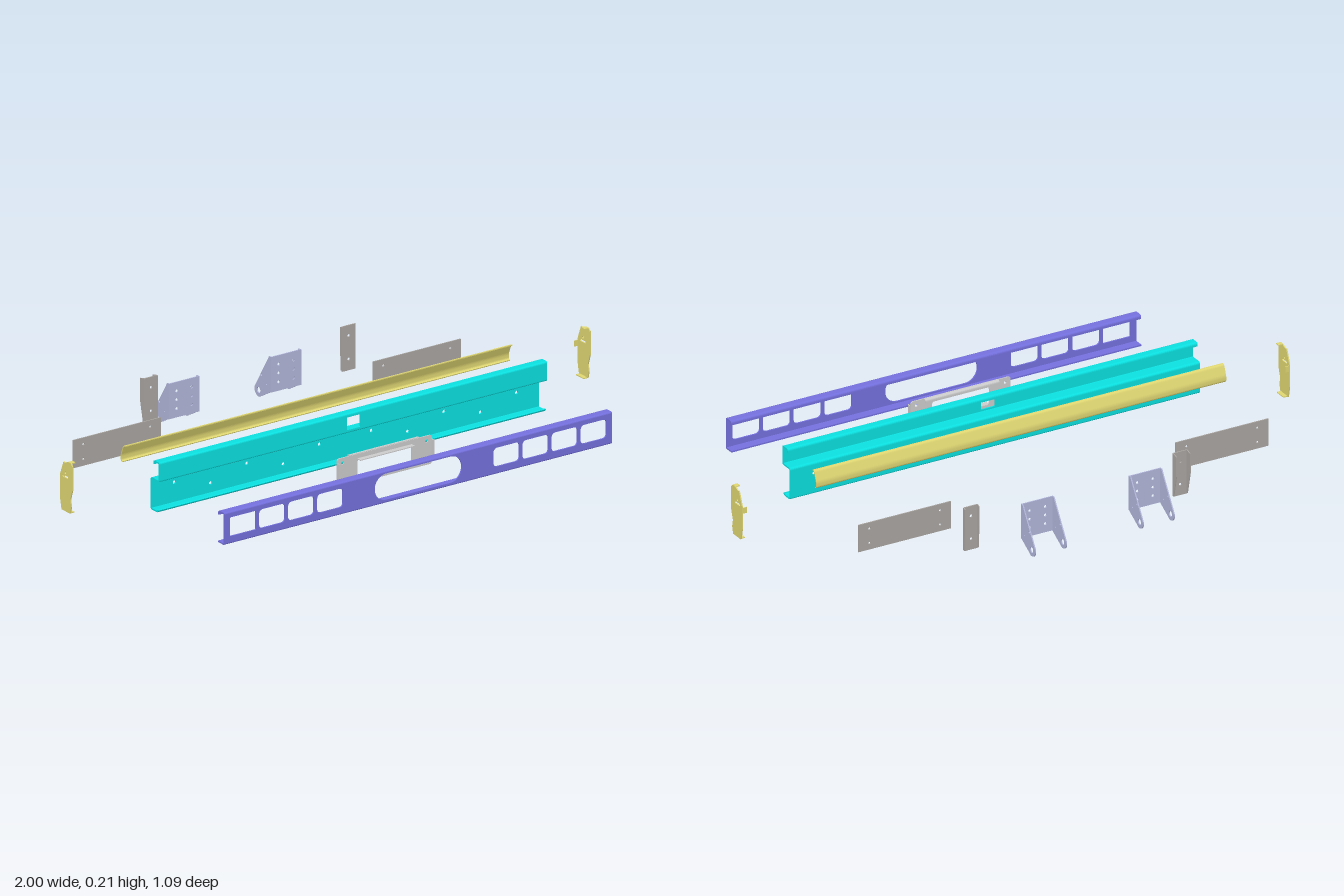
import * as THREE from 'three';

const CX = -0.022, X0 = -0.77, X1 = 0.725, T = 0.005;
const mat = (color) => new THREE.MeshStandardMaterial({ color, side: THREE.DoubleSide });
const PURPLE = mat(0x7470de), CYAN = mat(0x0be0e0), YELLOW = mat(0xdfd672),
  LILAC = mat(0xb2b6da), GREY = mat(0xcccccc), DARK = mat(0xaaa5a1);

function add(parent, name, geometry, material) {
  const m = new THREE.Mesh(geometry, material);
  m.name = name;
  parent.add(m);
  return m;
}

function group(parent, name) {
  const g = new THREE.Group();
  g.name = name;
  parent.add(g);
  return g;
}

// Rounded rectangle path, for outlines and holes
function rect(P, x0, x1, y0, y1, r = 0) {
  const p = new P();
  if (!r) return p.moveTo(x0, y0).lineTo(x1, y0).lineTo(x1, y1).lineTo(x0, y1).lineTo(x0, y0);
  p.absarc(x1 - r, y0 + r, r, -Math.PI / 2, 0);
  p.absarc(x1 - r, y1 - r, r, 0, Math.PI / 2);
  p.absarc(x0 + r, y1 - r, r, Math.PI / 2, Math.PI);
  p.absarc(x0 + r, y0 + r, r, Math.PI, Math.PI * 1.5);
  p.closePath();
  return p;
}
const hole = (x0, x1, y0, y1, r) => rect(THREE.Path, x0, x1, y0, y1, r);
const bolt = (x, y, r = 0.005) => new THREE.Path().absarc(x, y, r, 0, Math.PI * 2, true);

function extrude(shape, depth) {
  return new THREE.ExtrudeGeometry(shape, { depth, bevelEnabled: false, curveSegments: 8 });
}

// Sheet facing z, from an x-y shape with holes
function sheetZ(shape, holes, z, t = T) {
  shape.holes.push(...holes);
  return extrude(shape, t).translate(0, 0, z - t / 2);
}

// Sheet facing x; shapes are drawn in (-z, y)
function sheetX(shape, x, t) {
  return extrude(shape, t).rotateY(Math.PI / 2).translate(x, 0, 0);
}

// Folded sheet: a [z, y] centre line with rounded bends, run along x
function folded(pts, x0, x1, t = T, r = 0.006) {
  const v = pts.map(([z, y]) => new THREE.Vector2(-z, y)), line = [v[0]];
  for (let i = 1; i < v.length - 1; i++) {
    const toward = (q) => v[i].clone().add(q.clone().sub(v[i]).setLength(Math.min(r, q.distanceTo(v[i]) / 2)));
    line.push(...new THREE.QuadraticBezierCurve(toward(v[i - 1]), v[i], toward(v[i + 1])).getPoints(4));
  }
  line.push(v[v.length - 1]);
  const side = (s) => line.map((p, i) => {
    const d = line[Math.min(i + 1, line.length - 1)].clone().sub(line[Math.max(i - 1, 0)]).normalize();
    return new THREE.Vector2(p.x - d.y * s, p.y + d.x * s);
  });
  return sheetX(new THREE.Shape([...side(t / 2), ...side(-t / 2).reverse()]), x0, x1 - x0);
}

// Front channel with a long slot and four windows each side
function frontChannel(root) {
  const g = group(root, 'frontChannel');
  const holes = [hole(CX - 0.168, CX + 0.168, 0.057, 0.146, 0.0444)];
  for (let i = 0; i < 4; i++) {
    const x = 0.29 + i * 0.112;
    holes.push(hole(CX + x, CX + x + 0.1, 0.071, 0.135, 0.014));
    holes.push(hole(CX - x - 0.1, CX - x, 0.071, 0.135, i === 3 ? 0.004 : 0.014));
  }
  add(g, 'frontWeb', sheetZ(rect(THREE.Shape, X0, X1, 0.052, 0.148), holes, 0.541), PURPLE);
  add(g, 'topFlange', folded([[0.541, 0.147], [0.541, 0.152], [0.512, 0.152], [0.512, 0.14]], X0, X1), PURPLE);
  add(g, 'bottomFlange', folded([[0.541, 0.053], [0.541, 0.048], [0.508, 0.048]], X0, X1), PURPLE);
}

// Small framed bracket behind the slot
function frameBracket(root) {
  const g = group(root, 'frameBracket');
  const x0 = CX - 0.182, x1 = CX + 0.182, a = CX - 0.105, b = CX + 0.105;
  add(g, 'frame', sheetZ(rect(THREE.Shape, x0, x1, 0.049, 0.147, 0.008),
    [hole(a, b, 0.067, 0.13, 0.012), bolt(x0 + 0.02, 0.13), bolt(x1 - 0.02, 0.13)], 0.357, 0.004), GREY);
  add(g, 'topLip', folded([[0.357, 0.147], [0.345, 0.147], [0.345, 0.135]], a - 0.03, b + 0.03, 0.003), GREY);
  for (const [y, name] of [[0.131, 'upperLip'], [0.066, 'lowerLip']])
    add(g, name, new THREE.BoxGeometry(b - a, 0.003, 0.02).translate(CX, y, 0.366), GREY);
  for (const x of [x0, x1])
    add(g, 'endLip', new THREE.BoxGeometry(0.003, 0.07, 0.014).translate(x, 0.098, 0.364), GREY);
}

// Main stepped beam
function mainBeam(root) {
  const g = group(root, 'mainBeam');
  add(g, 'topFlange', folded([[0.187, 0.2], [0.187, 0.207], [0.158, 0.207], [0.158, 0.196]], X0, X1), CYAN);
  add(g, 'upperWeb', sheetZ(rect(THREE.Shape, X0, X1, 0.151, 0.201),
    [hole(CX - 0.026, CX + 0.026, 0.154, 0.197, 0.003)], 0.187), CYAN);
  add(g, 'shelf', folded([[0.187, 0.152], [0.187, 0.145], [0.143, 0.145], [0.143, 0.135]], X0, X1), CYAN);
  const holes = [];
  for (const s of [-1, 1]) for (let i = 0; i < 5; i++)
    holes.push(bolt(CX + s * (0.1 + i * 0.14), i % 2 ? 0.075 : 0.11, 0.006));
  add(g, 'lowerWeb', sheetZ(rect(THREE.Shape, X0, X1, 0.046, 0.136), holes, 0.143), CYAN);
  add(g, 'bottomFlange', folded([[0.143, 0.047], [0.143, 0.04], [0.178, 0.04], [0.18, 0.046]], X0, X1), CYAN);
}

// Thin closing rail
function rearRail(root) {
  const line = [[0.0, 0.203], [-0.008, 0.203], [-0.022, 0.168], [-0.022, 0.15], [-0.014, 0.147]];
  add(root, 'rearRail', folded(line, X0, X1, 0.003), YELLOW);
}

// End cap with inward lips; s is the side
function endCap(root, s) {
  const g = group(root, s > 0 ? 'leftEndCap' : 'rightEndCap');
  const outline = [[0.038, 0.2], [0.03, 0.208], [0.012, 0.208], [-0.005, 0.2], [-0.01, 0.203], [-0.029, 0.155],
    [-0.029, 0.075], [-0.021, 0.037], [0.026, 0.037], [0.032, 0.062], [0.027, 0.085], [0.038, 0.118]];
  const shape = new THREE.Shape(outline.map(([z, y]) => new THREE.Vector2(-z, y)));
  shape.holes.push(hole(-0.016, 0.016, 0.151, 0.158, 0.0034), bolt(0, 0.167, 0.004));
  add(g, 'plate', sheetX(shape, s > 0 ? 0.996 : -1, 0.004), YELLOW);
  const lip = (name, pts) => add(g, name, folded(pts, s > 0 ? 0.982 : -0.998, s > 0 ? 0.998 : -0.982, 0.003), YELLOW);
  lip('bottomLip', [[-0.018, 0.038], [0.024, 0.038]]);
  lip('topLip', [[0.03, 0.207], [0.013, 0.207]]);
  lip('rearLip', [[-0.028, 0.15], [-0.028, 0.13]]);
}

// Flat cover plate
function coverPlate(root, name, x0, x1) {
  const holes = [];
  for (const x of [x0 + 0.04, x1 - 0.04]) for (const y of [0.06, 0.11]) holes.push(bolt(x, y, 0.004));
  add(root, name, sheetZ(rect(THREE.Shape, x0, x1, 0.037, 0.132), holes, -0.285, 0.004), DARK);
}

// Narrow upright bracket with tapered sides
function uprightBracket(root, name, x0, x1, depth) {
  const g = group(root, name);
  add(g, 'web', sheetZ(rect(THREE.Shape, x0, x1, 0.042, 0.195, 0.004),
    [bolt((x0 + x1) / 2, 0.16), bolt((x0 + x1) / 2, 0.08)], -0.455, 0.004), DARK);
  const pts = [[0.455, 0.195], [0.455 + depth, 0.19], [0.455 + depth, 0.12], [0.46, 0.045], [0.455, 0.045]];
  for (const x of [x0, x1 - 0.003])
    add(g, 'side', sheetX(new THREE.Shape(pts.map((p) => new THREE.Vector2(...p))), x, 0.003), DARK);
}

// U-shaped mount with two pierced ears
function earMount(root, name, x0, x1) {
  const g = group(root, name), holes = [];
  for (const x of [x0 + 0.03, x1 - 0.03]) for (const y of [0.065, 0.095, 0.125]) holes.push(bolt(x, y));
  add(g, 'web', sheetZ(rect(THREE.Shape, x0, x1, 0.035, 0.155), holes, -0.455, 0.004), LILAC);
  for (const x of [x0, x1 - 0.004]) {
    const s = new THREE.Shape();
    s.moveTo(0.454, 0.036).lineTo(0.512, 0.003);
    s.absarc(0.521, 0.022, 0.022, -2.0, 0.6);
    s.lineTo(0.474, 0.138).lineTo(0.464, 0.155).lineTo(0.454, 0.155);
    s.holes.push(bolt(0.521, 0.022, 0.01), bolt(0.506, 0.078, 0.004), bolt(0.478, 0.055, 0.003));
    add(g, 'ear', sheetX(s, x, 0.004), LILAC);
  }
}

export function createModel() {
  const root = new THREE.Group();
  root.name = 'explodedBeamAssembly';
  frontChannel(root);
  frameBracket(root);
  mainBeam(root);
  rearRail(root);
  for (const s of [-1, 1]) endCap(root, s);
  coverPlate(root, 'rightCoverPlate', X0, -0.432);
  coverPlate(root, 'leftCoverPlate', 0.387, X1);
  uprightBracket(root, 'rightUprightBracket', -0.376, -0.323, 0.022);
  uprightBracket(root, 'leftUprightBracket', 0.387, 0.44, 0.009);
  earMount(root, 'rightEarMount', -0.28, -0.163);
  earMount(root, 'leftEarMount', 0.113, 0.23);
  return root;
}
